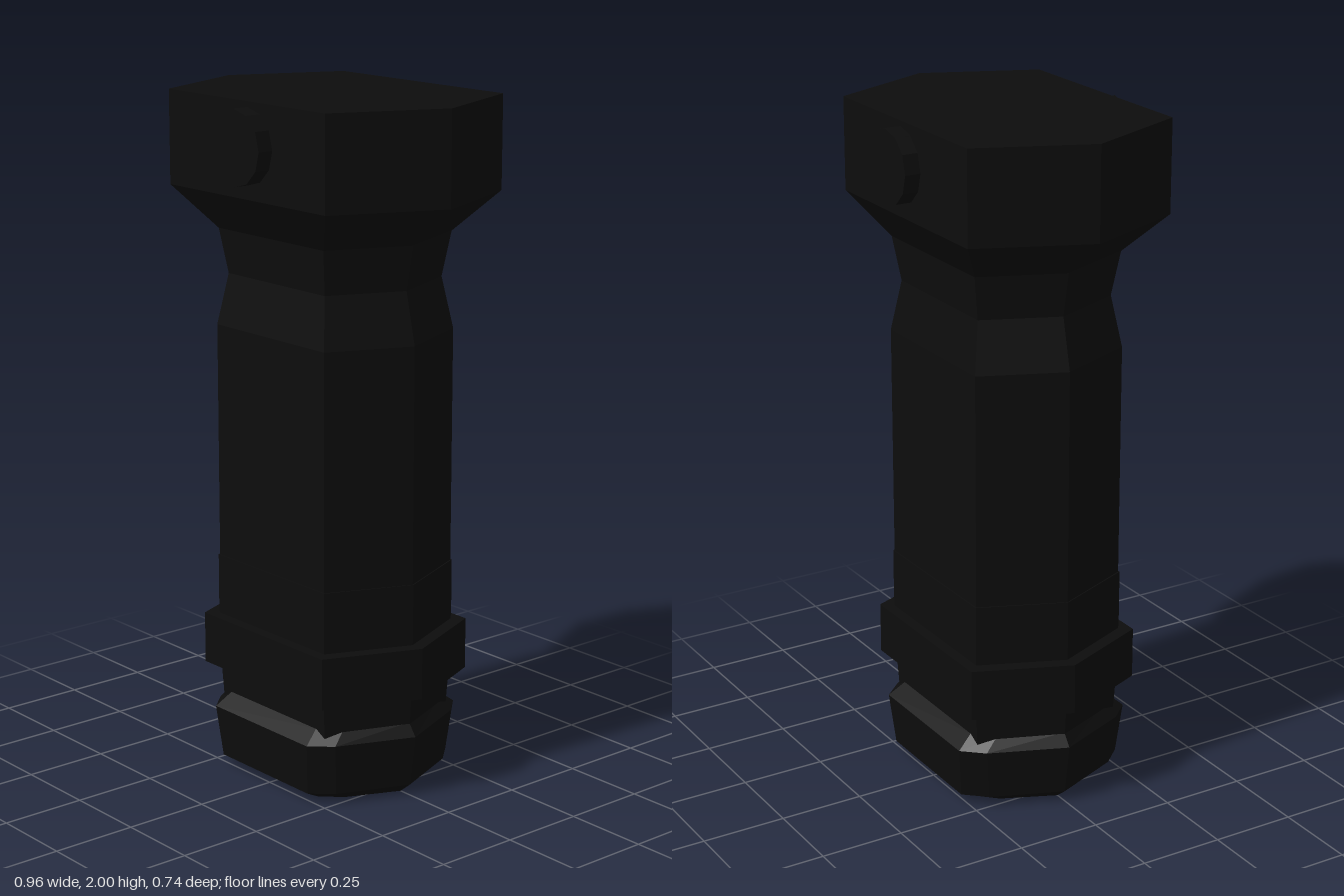
import * as THREE from 'three';

// Closed faceted loft; each section is [y, halfWidth, flatHalfWidth, halfDepth], bottom to top
function loft(sections, chamfer = 0) {
  const rings = sections.map(([y, w, f, d]) => {
    const slope = d / (w - f);
    const quarter = chamfer
      ? [[f + chamfer, d - chamfer * slope], [f - chamfer * 1.2, d]]
      : [[f, d]];
    const mirrored = quarter.slice().reverse();
    const outline = [
      [w, 0],
      ...quarter.map(([x, z]) => [x, -z]),
      ...mirrored.map(([x, z]) => [-x, -z]),
      [-w, 0],
      ...quarter.map(([x, z]) => [-x, z]),
      ...mirrored.map(([x, z]) => [x, z]),
    ];
    return outline.map(([x, z]) => [x, y, z]);
  });
  const pos = [];
  const tri = (a, b, c) => pos.push(...a, ...b, ...c);
  const n = rings[0].length, last = rings.length - 1;
  const low = [0, sections[0][0], 0], high = [0, sections[last][0], 0];
  for (let i = 0; i < n; i++) {
    const j = (i + 1) % n;
    for (let k = 0; k < last; k++) {
      const p = rings[k], q = rings[k + 1];
      tri(p[i], p[j], q[j]);
      tri(p[i], q[j], q[i]);
    }
    tri(low, rings[0][j], rings[0][i]);
    tri(high, rings[last][i], rings[last][j]);
  }
  const geometry = new THREE.BufferGeometry();
  geometry.setAttribute('position', new THREE.Float32BufferAttribute(pos, 3));
  geometry.computeVertexNormals();
  return geometry;
}

export function createModel() {
  const group = new THREE.Group();
  const black = new THREE.MeshStandardMaterial({ color: 0x0d0d0d });
  black.name = 'matte black';
  const add = (name, geometry) => {
    const mesh = new THREE.Mesh(geometry, black);
    mesh.name = name;
    group.add(mesh);
    return mesh;
  };

  // Handle with its waist, widening into the mounting head
  add('gripBody', loft([
    [0.18, 0.33, 0.23, 0.233],
    [0.3, 0.338, 0.235, 0.24],
    [0.5, 0.343, 0.24, 0.243],
    [0.64, 0.343, 0.24, 0.243],
    [0.64, 0.34, 0.237, 0.24],
    [1.33, 0.34, 0.237, 0.24],
    [1.48, 0.305, 0.212, 0.216],
    [1.61, 0.33, 0.23, 0.236],
    [1.73, 0.48, 0.34, 0.322],
    [2, 0.48, 0.34, 0.322],
  ]));

  // Raised collar above the cap
  add('collar', loft([
    [0.308, 0.383, 0.268, 0.275],
    [0.46, 0.383, 0.268, 0.275],
  ]));

  // End cap with softened corners
  add('endCap', loft([
    [0, 0.295, 0.2, 0.21],
    [0.032, 0.335, 0.225, 0.268],
    [0.185, 0.357, 0.24, 0.283],
    [0.222, 0.33, 0.225, 0.236],
  ], 0.025));

  // Cross bolt showing on both faces of the head
  const bolt = new THREE.CylinderGeometry(0.107, 0.107, 0.738, 12).rotateX(Math.PI / 2).toNonIndexed();
  bolt.computeVertexNormals();
  add('crossBolt', bolt).position.set(0.013, 1.877, 0);

  return group;
}
